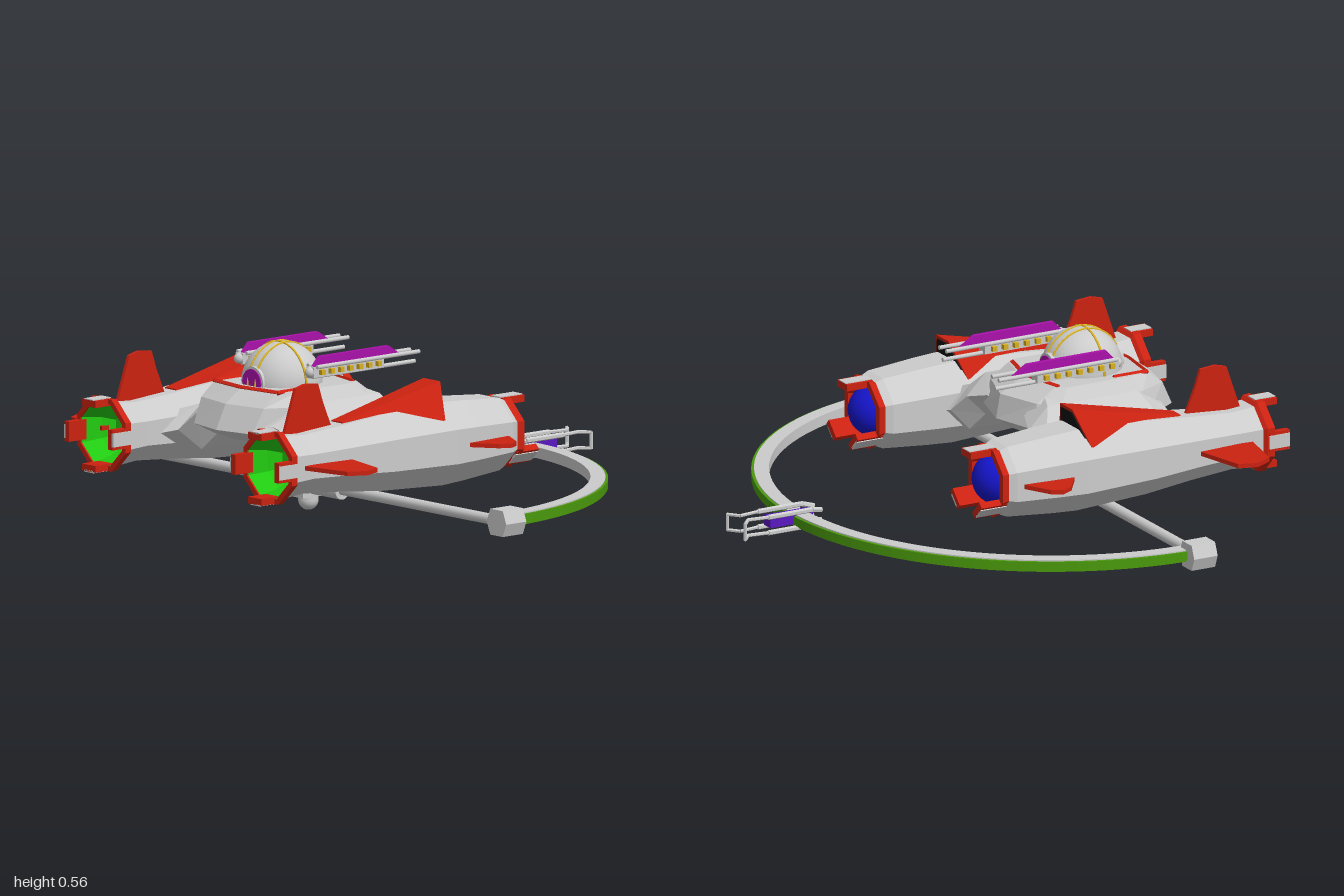
import * as THREE from 'three';

const mat = (color, flatShading = true) =>
  new THREE.MeshStandardMaterial({ color, flatShading, side: THREE.DoubleSide });
const GREY = mat(0xcccccc), SMOOTH = mat(0xcccccc, false), RED = mat(0xcc2211), GREEN = mat(0x22cc11),
  LIME = mat(0x4a9a0c, false), BLUE = mat(0x1515cc, false), VIOLET = mat(0x5a18c0),
  MAGENTA = mat(0xaa11aa), YELLOW = mat(0xd8b020), BLACK = mat(0x111111);

function add(parent, name, geo, material, x = 0, y = 0, z = 0) {
  const m = new THREE.Mesh(geo, material);
  m.name = name;
  m.position.set(x, y, z);
  parent.add(m);
  return m;
}
const box = (p, name, material, w, h, d, x, y, z) =>
  add(p, name, new THREE.BoxGeometry(w, h, d), material, x, y, z);

// Straight round bar between two points
function rod(p, name, material, a, b, r, sides = 10) {
  const A = new THREE.Vector3(...a), B = new THREE.Vector3(...b), d = B.clone().sub(A);
  const m = add(p, name, new THREE.CylinderGeometry(r, r, d.length(), sides), material);
  m.position.copy(A).add(B).multiplyScalar(0.5);
  m.quaternion.setFromUnitVectors(new THREE.Vector3(0, 1, 0), d.normalize());
  return m;
}

// Skin over equal-sized rings of [x, y, z] points, closed at both ends
function loft(rings) {
  const n = rings[0].length, idx = [];
  rings.slice(1).forEach((_, i) => {
    for (let j = 0; j < n; j++) {
      const a = i * n + j, b = i * n + (j + 1) % n;
      idx.push(a, b, b + n, a, b + n, a + n);
    }
  });
  const top = (rings.length - 1) * n;
  for (let j = 1; j < n - 1; j++) idx.push(0, j + 1, j, top, top + j, top + j + 1);
  const g = new THREE.BufferGeometry();
  g.setAttribute('position', new THREE.Float32BufferAttribute(rings.flat(2), 3));
  g.setIndex(idx);
  const out = g.toNonIndexed();
  out.computeVertexNormals();
  return out;
}

// Eight-sided turned shell along z from [apothem, z] pairs
const octShell = pts => new THREE.LatheGeometry(
  pts.map(([r, z]) => new THREE.Vector2(r / Math.cos(Math.PI / 8), z)), 8, Math.PI / 8).rotateX(Math.PI / 2);

const plate = (pts, t) => new THREE.ExtrudeGeometry(
  new THREE.Shape(pts.map(p => new THREE.Vector2(...p))), { depth: t, bevelEnabled: false }).translate(0, 0, -t / 2);

function buildNacelle() {
  const g = new THREE.Group();
  g.name = 'nacelle';
  add(g, 'nacelleShell', octShell([[0.105, -0.16], [0.117, -0.13], [0.13, 0.03], [0.135, 0.12], [0.123, 0.38],
    [0.106, 0.55], [0.095, 0.7], [0.103, 0.8]]), GREY);

  // Front mouth and its prongs
  add(g, 'mouthRim', octShell([[0.103, 0.78], [0.115, 0.79], [0.117, 0.815], [0.1, 0.815], [0.097, 0.79]]), RED);
  add(g, 'mouthLining', octShell([[0.001, 0.7], [0.058, 0.7], [0.082, 0.74], [0.1, 0.812]]), GREEN);
  // Rear collar and engine dome
  add(g, 'rearCollar', octShell([[0.104, -0.14], [0.112, -0.18], [0.09, -0.18], [0.085, -0.15], [0.001, -0.15]].reverse()), RED);
  add(g, 'engineDome', new THREE.SphereGeometry(0.085, 24, 16), BLUE, 0, 0, -0.135);

  const prong = (angle, r, z, len) => {
    const p = new THREE.Group();
    p.name = 'prong';
    p.rotation.z = angle;
    box(p, 'prongCore', RED, 0.022, 0.065, len, r, 0, z);
    box(p, 'prongCap', GREY, 0.008, 0.045, len, r + 0.01, 0, z);
    g.add(p);
  };
  for (let i = 0; i < 4; i++) prong(i * Math.PI / 2, 0.105, 0.832, 0.075);
  for (const a of [2, 5, 7]) prong(a * Math.PI / 4, 0.1, -0.205, 0.095);

  // Dorsal scoop opening to the rear
  const sec = (w, t, y0, y1, z0, z1) => [[w, y0, z0], [t, y1, z1], [-t, y1, z1], [-w, y0, z0]];
  add(g, 'scoop', loft([sec(0.105, 0.04, 0.085, 0.2, 0.15, 0.115), sec(0.035, 0.025, 0.08, 0.113, 0.52, 0.52)]), RED);
  add(g, 'scoopOpening', loft([sec(0.088, 0.034, 0.095, 0.188, 0.143, 0.114),
    sec(0.088, 0.034, 0.095, 0.188, 0.16, 0.13)]), BLACK);

  // Fins
  add(g, 'dorsalFin', plate([[0.755, 0.08], [0.7, 0.24], [0.66, 0.25], [0.605, 0.245], [0.585, 0.185], [0.54, 0.08]],
    0.012).rotateY(-Math.PI / 2), RED);
  add(g, 'frontSideFin', plate([[0.07, 0.54], [0.275, 0.59], [0.295, 0.65], [0.265, 0.71], [0.07, 0.75]],
    0.014).rotateX(Math.PI / 2), RED);
  add(g, 'rearSideFin', plate([[0.1, -0.105], [0.125, -0.105], [0.21, -0.06], [0.23, -0.025], [0.21, 0.015],
    [0.125, 0.075], [0.1, 0.075]], 0.014).rotateX(Math.PI / 2), RED);
  return g;
}

function buildGun() {
  const g = new THREE.Group();
  g.name = 'gun';
  box(g, 'gunBody', GREY, 0.036, 0.034, 0.3, 0, 0, 0.28);
  for (const x of [-0.022, 0.022]) rod(g, 'upperBarrel', SMOOTH, [x, 0.018, -0.015], [x, 0.018, 0.42], 0.007);
  rod(g, 'lowerBarrel', SMOOTH, [0, -0.016, -0.015], [0, -0.016, 0.42], 0.007);
  add(g, 'powerCell', plate([[0.42, 0.015], [0.39, 0.048], [0.1, 0.048], [0.05, 0.015]], 0.016)
    .rotateY(-Math.PI / 2), MAGENTA);
  for (let i = 0; i < 7; i++) box(g, 'coolingStud', YELLOW, 0.065, 0.016, 0.016, 0, 0, 0.16 + i * 0.04);
  add(g, 'gunPivot', new THREE.SphereGeometry(0.018, 12, 8), SMOOTH, 0, 0, 0.43);
  box(g, 'gunMount', GREY, 0.07, 0.022, 0.04, -0.05, -0.015, 0.39);
  return g;
}

export function createModel() {
  const model = new THREE.Group();
  model.name = 'spacecraft';

  // Paired parts, built on the left and mirrored
  for (const s of [1, -1]) {
    const side = new THREE.Group();
    side.name = s > 0 ? 'leftSide' : 'rightSide';
    side.scale.x = s;
    const nacelle = buildNacelle(), gun = buildGun();
    nacelle.position.set(0.4, 0.255, 0);
    gun.position.set(0.17, 0.485, 0);
    side.add(nacelle, gun);
    const rib = (x, lo, hi, z0, z1) => [[lo, z0 + 0.07], [(lo + hi) / 2, z0], [hi, z0 + 0.07],
      [hi, z1 - 0.1], [(lo + hi) / 2, z1], [lo, z1 - 0.1]].map(([y, z]) => [x, y, z]);
    add(side, 'pylon', loft([rib(0.12, 0.275, 0.41, 0.12, 0.6), rib(0.2, 0.25, 0.39, 0.09, 0.59),
      rib(0.25, 0.19, 0.34, 0.06, 0.62), rib(0.34, 0.17, 0.31, 0.04, 0.67)]), GREY);
    model.add(side);
  }

  // Central hull, stacked from bottom to top
  const ring = (y, half) => [...half, ...half.slice(1, -1).reverse().map(([x, z]) => [-x, z])].map(([x, z]) => [x, y, z]);
  add(model, 'hull', loft([
    ring(0.265, [[0, 0.6], [0.13, 0.57], [0.17, 0.48], [0.17, 0.24], [0.13, 0.17], [0, 0.14]]),
    ring(0.305, [[0, 0.68], [0.14, 0.65], [0.22, 0.52], [0.22, 0.2], [0.16, 0.13], [0, 0.085]]),
    ring(0.385, [[0, 0.64], [0.15, 0.61], [0.2, 0.51], [0.2, 0.21], [0.15, 0.15], [0, 0.1]]),
    ring(0.43, [[0, 0.575], [0.15, 0.555], [0.17, 0.48], [0.17, 0.25], [0.15, 0.215], [0, 0.18]])]), GREY);
  for (const s of [1, -1]) {
    rod(model, 'frontTrim', RED, [0, 0.428, 0.572], [s * 0.15, 0.428, 0.552], 0.009, 4);
    rod(model, 'sideTrim', RED, [s * 0.15, 0.428, 0.555], [s * 0.15, 0.428, 0.43], 0.009, 4);
    rod(model, 'rearTrim', RED, [0, 0.428, 0.195], [s * 0.15, 0.428, 0.23], 0.009, 4);
  }

  // Domed turret with inlaid bands and lenses
  add(model, 'turretDome', new THREE.SphereGeometry(0.13, 32, 20), SMOOTH, 0, 0.43, 0.4);
  for (const x of [-0.018, 0.018])
    add(model, 'domeBand', new THREE.TorusGeometry(0.1288, 0.004, 6, 32, Math.PI).rotateY(Math.PI / 2), YELLOW, x, 0.43, 0.4);
  add(model, 'domeCrossBand', new THREE.TorusGeometry(0.13, 0.004, 6, 32, Math.PI), YELLOW, 0, 0.43, 0.41);
  rod(model, 'lensHousing', SMOOTH, [0, 0.44, 0.272], [0, 0.44, 0.526], 0.052, 20);
  rod(model, 'lens', MAGENTA, [0, 0.44, 0.268], [0, 0.44, 0.53], 0.044, 20);

  // Keel mast and crossbar
  const Y = 0.09, Z = 0.287;
  rod(model, 'mast', SMOOTH, [0, 0.035, Z], [0, 0.29, Z], 0.033, 16);
  add(model, 'mastFoot', new THREE.SphereGeometry(0.033, 16, 10), SMOOTH, 0, 0.033, Z);
  box(model, 'mastBlock', GREY, 0.06, 0.085, 0.088, 0, 0.088, Z + 0.005);
  rod(model, 'crossbarSleeve', SMOOTH, [-0.165, Y - 0.005, Z], [0.165, Y - 0.005, Z], 0.031, 16);
  rod(model, 'crossbar', SMOOTH, [-0.94, Y - 0.003, Z], [0.94, Y - 0.003, Z], 0.018, 12);
  for (const s of [1, -1])
    add(model, 'crossbarEnd', plate([[-0.047, 0], [-0.03, 0.042], [0.03, 0.042], [0.047, 0], [0.03, -0.042], [-0.03, -0.042]],
      0.086), GREY, s * 0.953, Y, Z);

  // Half hoop behind the craft, with a coloured outer rim
  const hoop = (r0, r1, h) => {
    const shape = new THREE.Shape();
    shape.absarc(0, 0, r1, Math.PI, 2 * Math.PI, false);
    shape.absarc(0, 0, r0, 2 * Math.PI, Math.PI, true);
    return new THREE.ExtrudeGeometry(shape, { depth: h, bevelEnabled: false, curveSegments: 48 })
      .translate(0, 0, -h / 2).rotateX(Math.PI / 2);
  };
  add(model, 'hoop', hoop(0.9, 0.948, 0.036), SMOOTH, 0, Y, Z);
  add(model, 'hoopRim', hoop(0.946, 0.957, 0.028), LIME, 0, Y, Z);
  add(model, 'hoopUnderside', hoop(0.925, 0.952, 0.008), LIME, 0, Y - 0.016, Z);

  // Emitter at the back of the hoop
  const emitter = new THREE.Group();
  emitter.name = 'emitter';
  emitter.position.set(0, 0.095, 0);
  box(emitter, 'emitterCore', VIOLET, 0.042, 0.034, 0.155, 0, 0, -0.677);
  for (const s of [1, -1]) {
    for (const t of [1, -1]) {
      const path = [[0.022, 0.016, -0.57], [0.034, 0.026, -0.61], [0.034, 0.026, -0.77], [0.025, 0.026, -0.84], [0.058, 0.026, -0.868]];
      for (let i = 0; i < 4; i++) {
        const [a, b] = [path[i], path[i + 1]].map(([x, y, z]) => [s * x, t * y, z]);
        rod(emitter, 'emitterRail', GREY, a, b, i < 2 ? 0.009 : 0.006, 6);
      }
    }
    rod(emitter, 'emitterTip', GREY, [s * 0.058, -0.028, -0.868], [s * 0.058, 0.028, -0.868], 0.006, 6);
  }
  model.add(emitter);
  return model;
}
